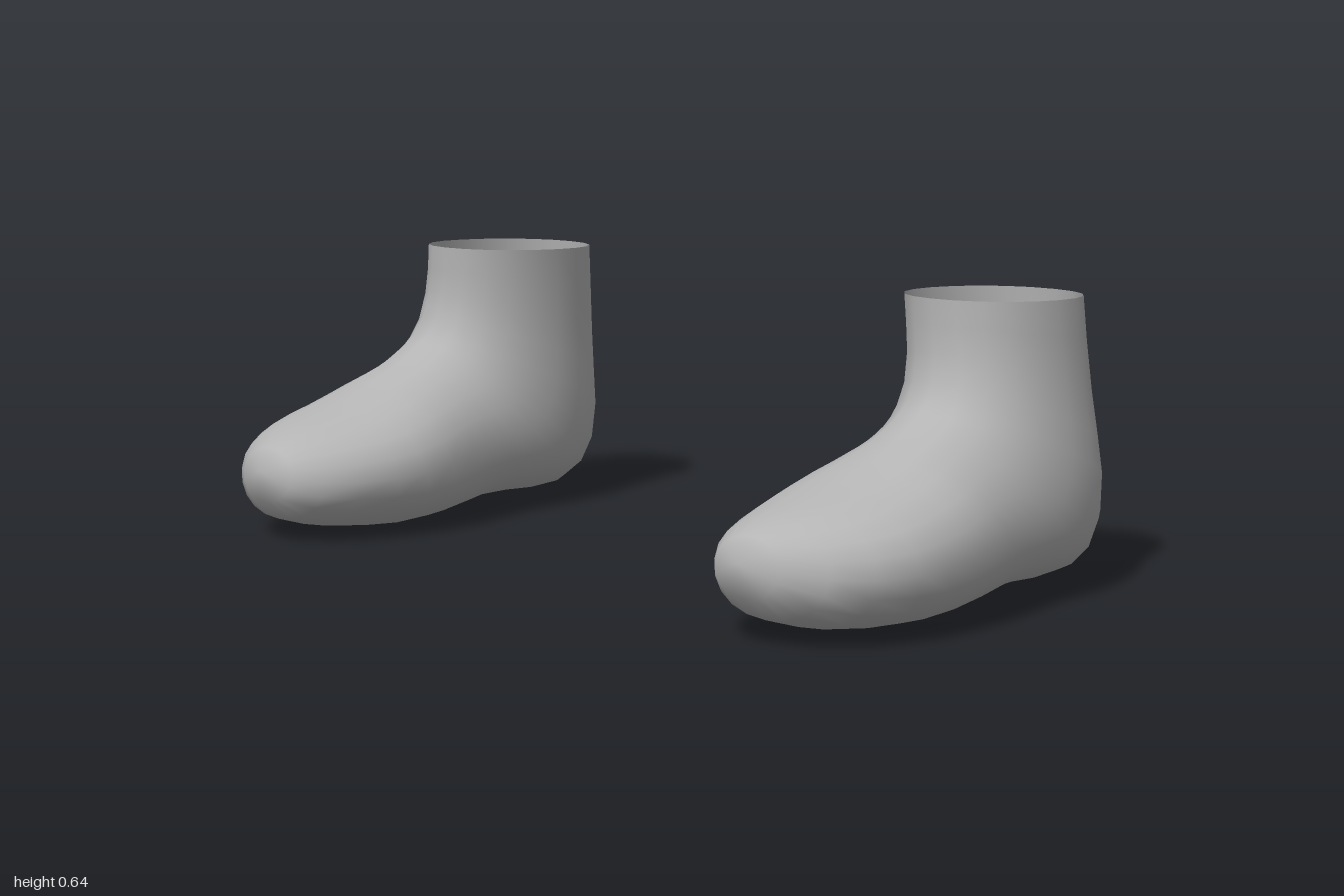
import * as THREE from 'three';

// Rings from cuff to toe: [heel/sole z, y, shin/instep z, y, centre x, half width]
const RINGS = [
  [-0.48, 0.625, -0.06, 0.64, 0.74, 0.168],
  [-0.49, 0.52, -0.06, 0.585, 0.745, 0.168],
  [-0.50, 0.40, -0.058, 0.53, 0.752, 0.172],
  [-0.51, 0.30, -0.045, 0.47, 0.759, 0.18],
  [-0.518, 0.21, -0.02, 0.43, 0.764, 0.189],
  [-0.505, 0.12, 0.0, 0.413, 0.767, 0.195],
  [-0.465, 0.06, 0.02, 0.40, 0.768, 0.198],
  [-0.40, 0.03, 0.04, 0.388, 0.768, 0.2],
  [-0.31, 0.025, 0.06, 0.376, 0.768, 0.201],
  [-0.22, 0.03, 0.08, 0.365, 0.769, 0.206],
  [-0.135, 0.03, 0.11, 0.352, 0.77, 0.216],
  [-0.05, 0.018, 0.14, 0.339, 0.769, 0.226],
  [0.05, 0.006, 0.18, 0.323, 0.765, 0.235],
  [0.15, 0.003, 0.24, 0.302, 0.763, 0.237],
  [0.25, 0.01, 0.295, 0.286, 0.764, 0.228],
  [0.37, 0.026, 0.36, 0.268, 0.762, 0.198],
  [0.455, 0.052, 0.425, 0.249, 0.75, 0.15],
  [0.505, 0.10, 0.485, 0.222, 0.737, 0.085],
];
const TOE_TIP = [0.732, 0.172, 0.52];
const SEGMENTS = 20;

// Rounded-oval loft; side is +1 for the left foot and -1 for the right
function sockGeometry(side) {
  const positions = [];
  const indices = [];
  const triangle = (a, b, c) => (side > 0 ? indices.push(a, b, c) : indices.push(a, c, b));
  const round = (v) => Math.sign(v) * Math.abs(v) ** 0.94;

  for (const [az, ay, bz, by, cx, w] of RINGS) {
    for (let i = 0; i < SEGMENTS; i++) {
      const t = (i / SEGMENTS) * Math.PI * 2;
      const k = (1 + round(Math.cos(t))) / 2;
      positions.push(side * (cx + w * round(Math.sin(t))), ay + (by - ay) * k, az + (bz - az) * k);
    }
  }
  for (let r = 0; r < RINGS.length - 1; r++) {
    for (let i = 0; i < SEGMENTS; i++) {
      const j = (i + 1) % SEGMENTS;
      const a = r * SEGMENTS + i;
      const b = r * SEGMENTS + j;
      triangle(a, a + SEGMENTS, b);
      triangle(b, a + SEGMENTS, b + SEGMENTS);
    }
  }
  // Closed toe
  const tip = positions.length / 3;
  const last = (RINGS.length - 1) * SEGMENTS;
  positions.push(side * TOE_TIP[0], TOE_TIP[1], TOE_TIP[2]);
  for (let i = 0; i < SEGMENTS; i++) triangle(last + i, tip, last + ((i + 1) % SEGMENTS));

  const geometry = new THREE.BufferGeometry();
  geometry.setAttribute('position', new THREE.Float32BufferAttribute(positions, 3));
  geometry.setIndex(indices);
  geometry.computeVertexNormals();
  return geometry;
}

export function createModel() {
  const group = new THREE.Group();
  group.name = 'pairOfSocks';
  const fabric = new THREE.MeshStandardMaterial({ color: 0xb4b4b4, side: THREE.DoubleSide });
  fabric.name = 'grey fabric';

  for (const [name, side] of [['leftSock', 1], ['rightSock', -1]]) {
    const sock = new THREE.Mesh(sockGeometry(side), fabric);
    sock.name = name;
    group.add(sock);
  }
  return group;
}
